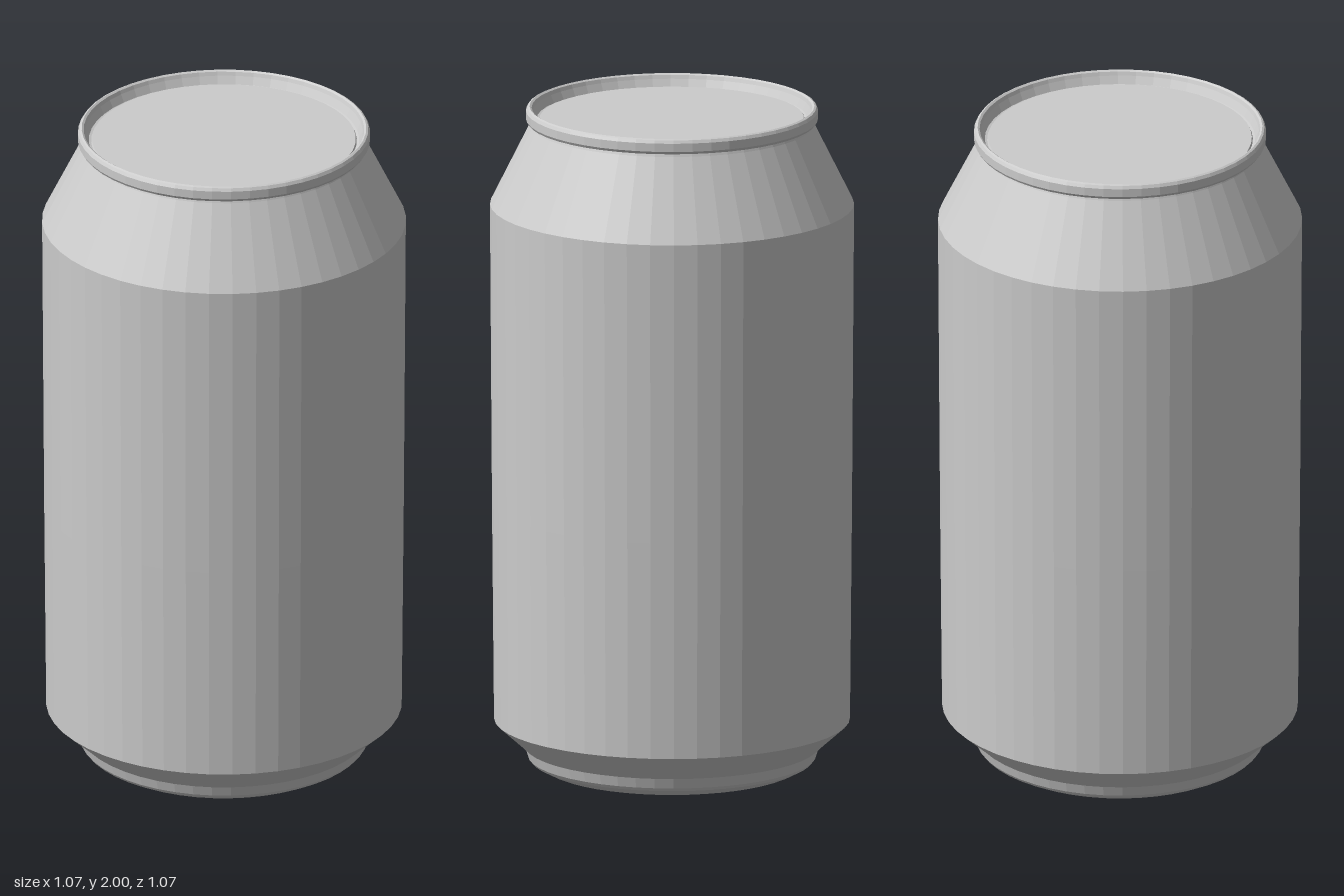
import * as THREE from 'three';

export function createModel() {
  const can = new THREE.Group();
  can.name = 'drinkCan';
  const aluminium = new THREE.MeshStandardMaterial({ color: 0xcccccc, flatShading: true });
  aluminium.name = 'aluminium';

  // Each part is a turned profile of [radius, height], running from the
  // base centre, up the outside and back in to the lid centre.
  const parts = {
    baseDome: [[0, 0.125], [0.1, 0.12], [0.19, 0.105], [0.27, 0.08], [0.33, 0.045], [0.355, 0.015], [0.367, 0.002]],
    footRim: [[0.367, 0.002], [0.373, 0], [0.385, 0.005], [0.417, 0.022], [0.425, 0.032], [0.435, 0.063]],
    lowerTaper: [[0.435, 0.063], [0.458, 0.085], [0.525, 0.145]],
    body: [[0.525, 0.145], [0.531, 0.8], [0.537, 1.705]],
    shoulder: [[0.537, 1.705], [0.418, 1.945], [0.415, 1.953]],
    topRim: [[0.415, 1.953], [0.426, 1.955], [0.431, 1.963], [0.431, 1.988], [0.426, 1.997], [0.42, 2],
      [0.414, 1.996], [0.41, 1.985], [0.399, 1.962], [0.392, 1.96]],
    lid: [[0.392, 1.96], [0.389, 1.966], [0, 1.966]],
  };

  for (const [name, profile] of Object.entries(parts)) {
    const points = profile.map(([r, y]) => new THREE.Vector2(r, y));
    const mesh = new THREE.Mesh(new THREE.LatheGeometry(points, 48), aluminium);
    mesh.name = name;
    can.add(mesh);
  }
  return can;
}
